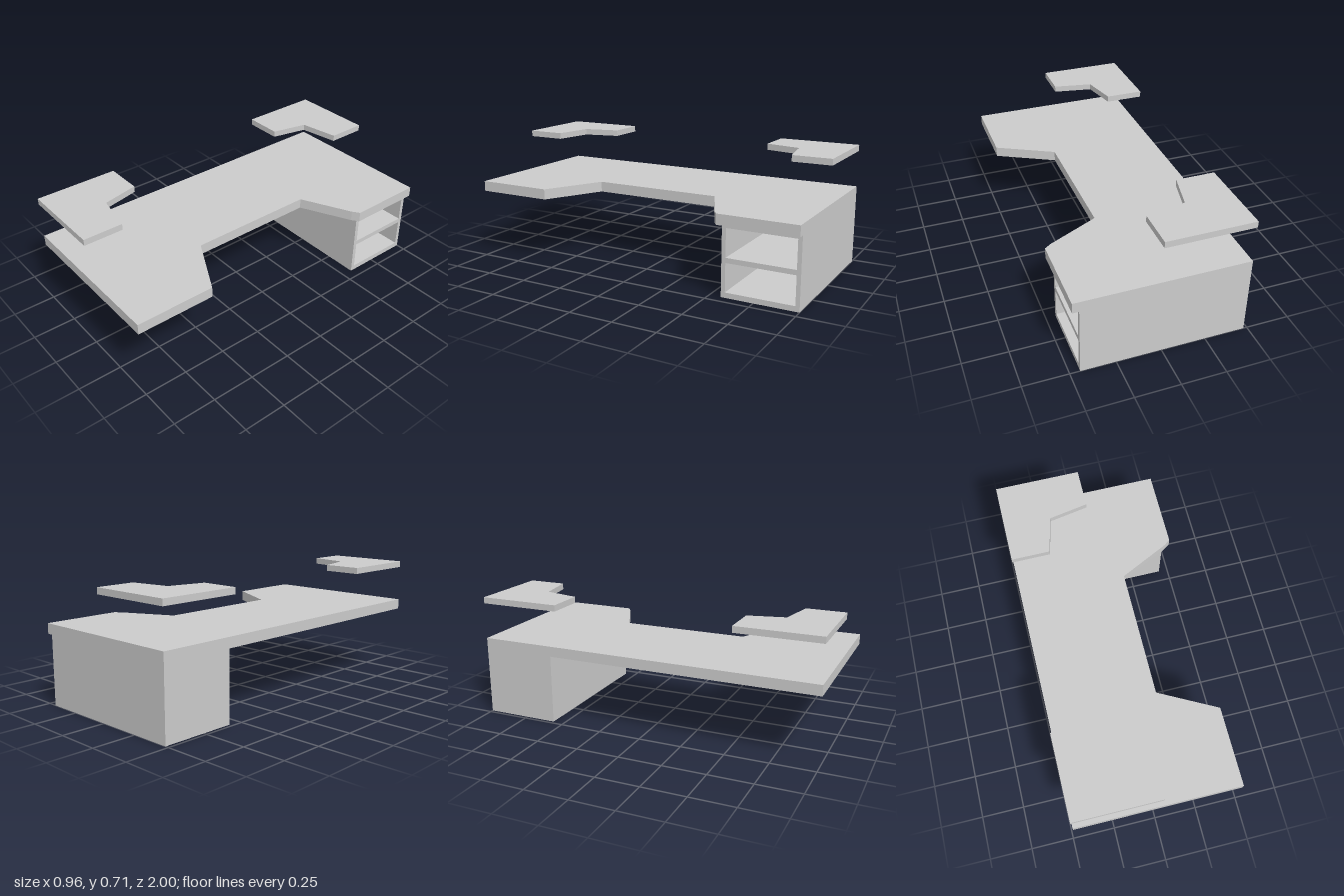
import * as THREE from 'three';

const material = new THREE.MeshStandardMaterial({ color: 0xcccccc, flatShading: true });

const toPoints = (pts) => pts.map(([a, b]) => new THREE.Vector2(a, b));

function addMesh(group, name, geometry) {
  const mesh = new THREE.Mesh(geometry, material);
  mesh.name = name;
  group.add(mesh);
}

// Horizontal board with an (x, z) outline, from height y0 to y1
function board(outline, y0, y1) {
  const shape = new THREE.Shape(toPoints(outline.map(([x, z]) => [x, -z])));
  const geometry = new THREE.ExtrudeGeometry(shape, { depth: y1 - y0, bevelEnabled: false });
  return geometry.rotateX(-Math.PI / 2).translate(0, y0, 0);
}

// Rectangle corners in the cabinet's face plane (-z, y)
const rect = (z0, z1, y0, y1) => toPoints([[-z1, y0], [-z0, y0], [-z0, y1], [-z1, y1]]);

export function createModel() {
  const group = new THREE.Group();
  group.name = 'desk';

  // Desktop with a recess for the sitter
  addMesh(group, 'desktop', board([
    [-0.48, -1], [0.48, -1], [0.48, -0.55], [0.44, -0.522], [0.15, -0.38],
    [0.15, 0.373], [0.48, 0.547], [0.48, 1], [-0.48, 1],
  ], 0.4, 0.46));

  // Mirrored corner shelves floating above the desktop
  const corner = [[-0.48, 0.522], [-0.258, 0.522], [-0.21, 0.732], [0.017, 0.773], [0.017, 1], [-0.48, 1]];
  for (const [name, side] of [['frontShelf', 1], ['backShelf', -1]]) {
    addMesh(group, name, board(corner.map(([x, z]) => [x, z * side]), 0.67, 0.706));
  }

  // Cabinet body with two open compartments facing +x
  const face = new THREE.Shape(rect(-1, -0.567, 0, 0.4));
  for (const [y0, y1] of [[0.03, 0.192], [0.22, 0.38]]) {
    face.holes.push(new THREE.Path(rect(-0.977, -0.59, y0, y1)));
  }
  const body = new THREE.ExtrudeGeometry(face, { depth: 0.9, bevelEnabled: false });
  addMesh(group, 'cabinetBody', body.rotateY(Math.PI / 2).translate(-0.456, 0, 0));

  // Panel closing the far end of the compartments
  const back = new THREE.BoxGeometry(0.024, 0.4, 0.433);
  addMesh(group, 'cabinetBack', back.translate(-0.468, 0.2, -0.7835));

  return group;
}
